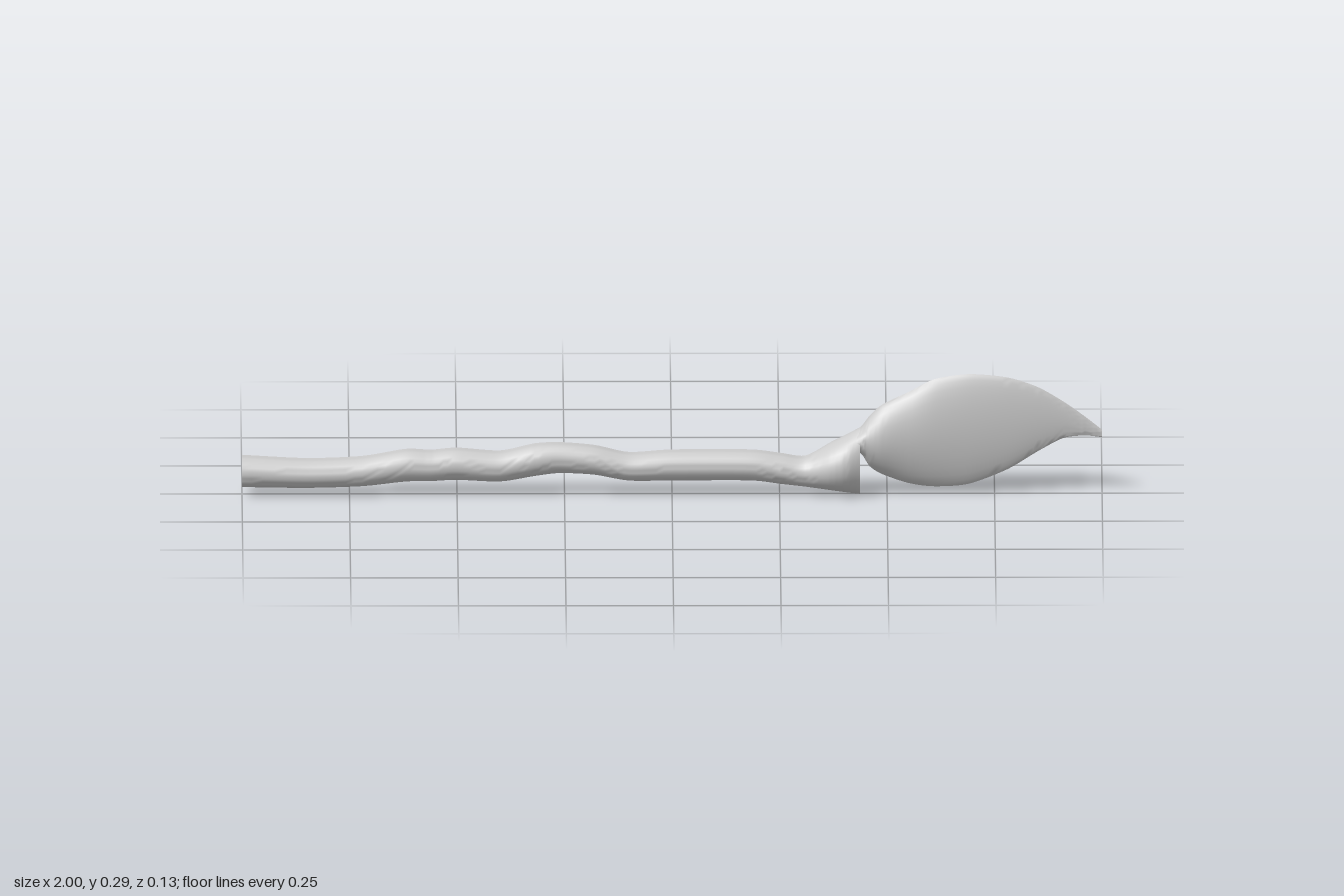
import * as THREE from 'three';
import { toCreasedNormals } from 'three/addons/utils/BufferGeometryUtils.js';

// Closed loft along x. Stations are [x, bottom, top, halfWidth];
// sharp > 1 pinches the section into a lens with edges at top and bottom.
function loft(stations, steps, sides, sharp) {
  const height = new THREE.CatmullRomCurve3(stations.map(s => new THREE.Vector3(s[0], s[1], s[2])), false, 'catmullrom', 0.4);
  const width = new THREE.CatmullRomCurve3(stations.map(s => new THREE.Vector3(s[3], 0, 0)), false, 'catmullrom', 0.4);
  const pos = [], index = [];
  for (let i = 0; i <= steps; i++) {
    const h = height.getPoint(i / steps), w = width.getPoint(i / steps).x;
    for (let j = 0; j < sides; j++) {
      const a = (j / sides) * Math.PI * 2, s = Math.sin(a);
      pos.push(h.x, (h.y + h.z) / 2 + Math.cos(a) * (h.z - h.y) / 2, Math.sign(s) * Math.abs(s) ** sharp * w);
    }
  }
  for (let i = 0; i < steps; i++) {
    for (let j = 0; j < sides; j++) {
      const k = (j + 1) % sides;
      const a = i * sides + j, b = i * sides + k;
      index.push(a, b, a + sides, b, b + sides, a + sides);
    }
  }
  // flat end caps
  const last = steps * sides;
  for (let j = 1; j < sides - 1; j++) {
    index.push(0, j + 1, j, last, last + j, last + j + 1);
  }
  const geo = new THREE.BufferGeometry();
  geo.setAttribute('position', new THREE.Float32BufferAttribute(pos, 3));
  geo.setIndex(index);
  return toCreasedNormals(geo, 0.8);
}

export function createModel() {
  const group = new THREE.Group();
  const material = new THREE.MeshStandardMaterial({ color: 0xcccccc });
  const add = (name, geo) => {
    const mesh = new THREE.Mesh(geo, material);
    mesh.name = name;
    group.add(mesh);
  };

  // Gnarled shaft that flares into a socket with a flat rim
  add('shaft', loft([
    [-1, 0.02, 0.095, 0.039], [-0.85, 0.018, 0.087, 0.039], [-0.72, 0.022, 0.092, 0.039],
    [-0.62, 0.033, 0.109, 0.039], [-0.56, 0.034, 0.107, 0.039], [-0.5, 0.037, 0.112, 0.039],
    [-0.4, 0.033, 0.105, 0.039], [-0.32, 0.046, 0.122, 0.039], [-0.26, 0.053, 0.125, 0.036],
    [-0.18, 0.049, 0.118, 0.038], [-0.1, 0.035, 0.101, 0.039], [0, 0.035, 0.107, 0.039],
    [0.18, 0.035, 0.107, 0.039], [0.25, 0.027, 0.099, 0.039], [0.31, 0.02, 0.092, 0.041],
    [0.37, 0.012, 0.124, 0.062], [0.405, 0.007, 0.142, 0.064], [0.437, 0.002, 0.16, 0.052],
  ], 102, 28, 1));

  // Leaf-shaped blade, sharp along both edges, tapering to a hooked tip
  add('blade', loft([
    [0.4, 0.09, 0.135, 0.036], [0.437, 0.1, 0.16, 0.041], [0.46, 0.067, 0.19, 0.042],
    [0.49, 0.048, 0.217, 0.043], [0.55, 0.027, 0.246, 0.037], [0.61, 0.019, 0.277, 0.032],
    [0.69, 0.025, 0.289, 0.025], [0.78, 0.06, 0.281, 0.017], [0.85, 0.103, 0.258, 0.011],
    [0.91, 0.135, 0.223, 0.006], [0.96, 0.141, 0.187, 0.003], [1, 0.137, 0.155, 0.002],
  ], 66, 28, 1.35));

  return group;
}
